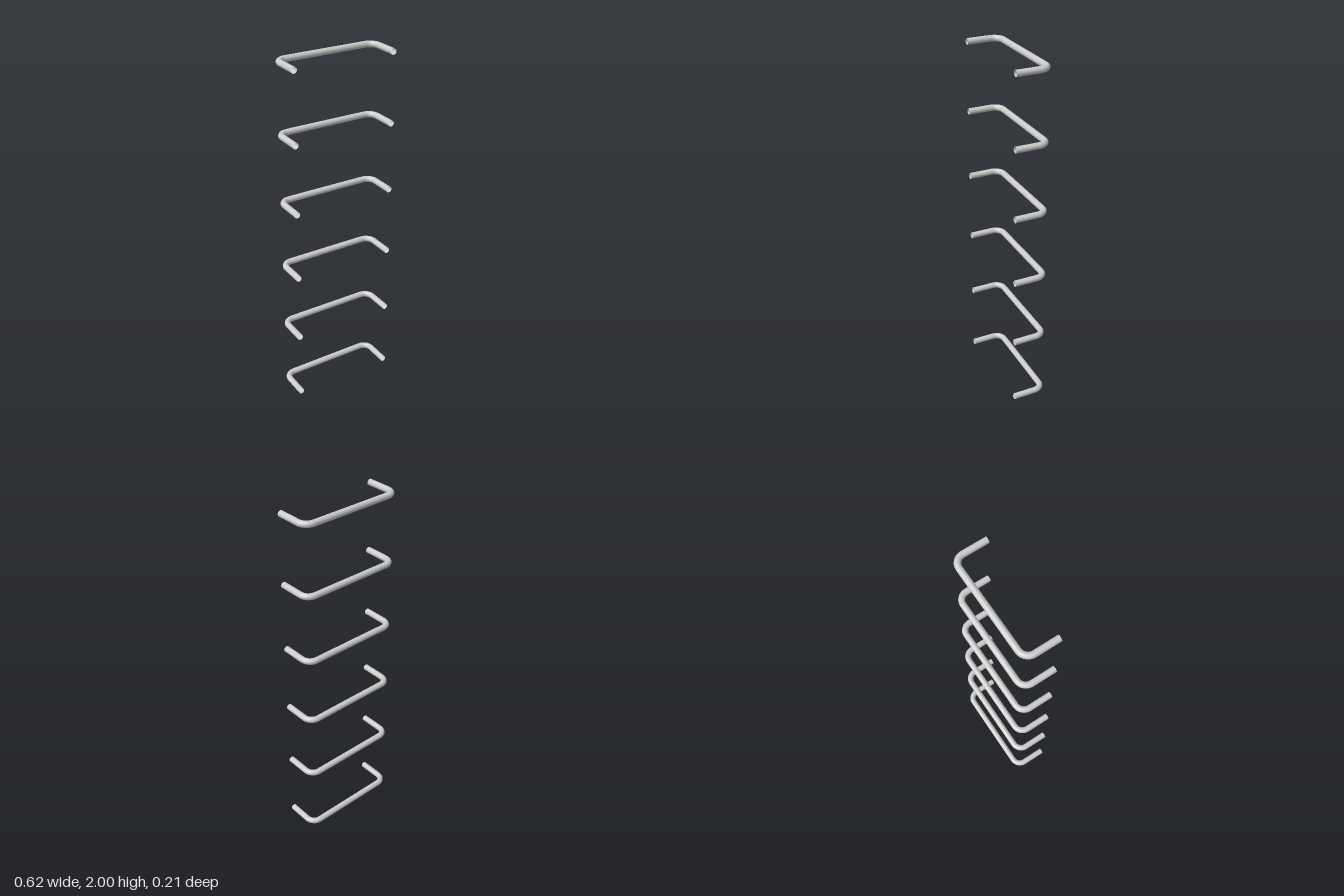
import * as THREE from 'three';

const RADIUS = 0.0175;  // rod thickness
const HALF = 0.294;     // leg centreline x
const BACK = -0.086;    // grip centreline z
const FRONT = 0.102;    // open leg ends
const BEND = 0.053;     // bend radius on the centreline
const COUNT = 6;

// U-shaped centreline lying flat in the xz plane
class RungCurve extends THREE.Curve {
  constructor() {
    super();
    this.path = new THREE.Path();
    this.path.moveTo(-HALF, FRONT);
    this.path.lineTo(-HALF, BACK + BEND);
    this.path.absarc(-HALF + BEND, BACK + BEND, BEND, Math.PI, Math.PI * 1.5, false);
    this.path.lineTo(HALF - BEND, BACK);
    this.path.absarc(HALF - BEND, BACK + BEND, BEND, -Math.PI / 2, 0, false);
    this.path.lineTo(HALF, FRONT);
  }
  getPoint(t, target = new THREE.Vector3()) {
    const p = this.path.getPoint(t);
    return target.set(p.x, 0, p.y);
  }
}

export function createModel() {
  const model = new THREE.Group();
  model.name = 'ladderRungs';
  const material = new THREE.MeshStandardMaterial({ color: 0xcccccc, side: THREE.DoubleSide });
  const geometry = new THREE.TubeGeometry(new RungCurve(), 120, RADIUS, 20, false);

  // Evenly spaced rungs, open at the leg ends
  for (let i = 0; i < COUNT; i++) {
    const rung = new THREE.Mesh(geometry, material);
    rung.name = `rung${i + 1}`;
    rung.position.y = RADIUS + (i * (2 - 2 * RADIUS)) / (COUNT - 1);
    model.add(rung);
  }
  return model;
}
